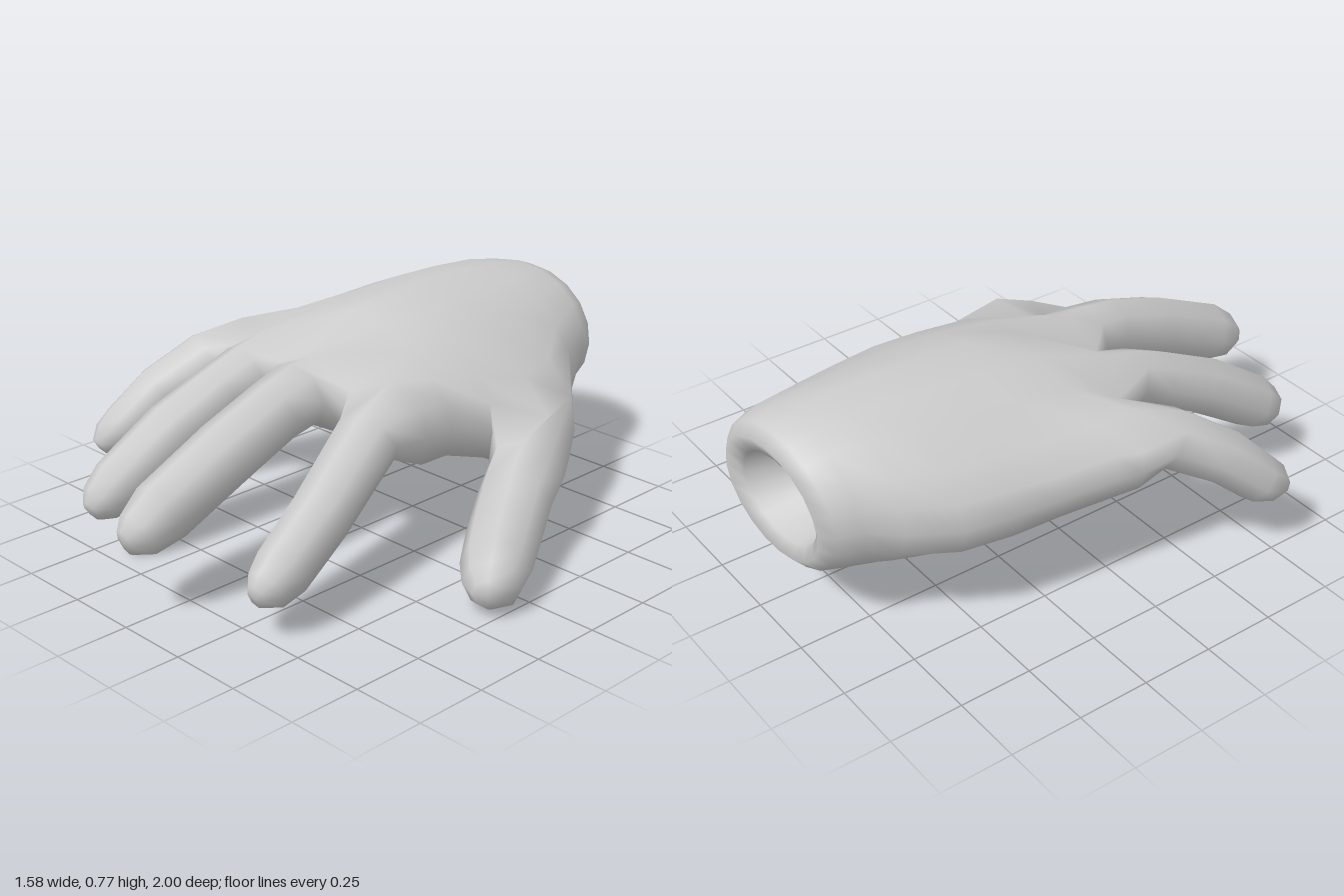
import * as THREE from 'three';

const material = new THREE.MeshStandardMaterial({ color: 0xcccccc });

export function createModel() {
  const group = new THREE.Group();
  group.name = 'hand';
  const points = [];   // vertices shared by all parts, so the skin shades without seams
  const parts = {};    // part name -> triangle indices

  const add = (x, y, z) => points.push(x, y, z) / 3 - 1;

  // Join two loops of vertex numbers with quads; loops run clockwise seen from ahead
  function bridge(part, a, b, skip = []) {
    const index = (parts[part] ??= []);
    a.forEach((a0, i) => {
      if (skip.includes(i)) return;
      const j = (i + 1) % a.length;
      for (const tri of [[a0, b[i], a[j]], [a[j], b[i], b[j]]]) {
        if (new Set(tri).size === 3) index.push(...tri);
      }
    });
  }

  // Wrist loop: 20-point ellipse, slightly tilted
  function wristLoop(a, b, y, z) {
    return Array.from({ length: 20 }, (_, i) => {
      const t = (162 - 18 * i) * Math.PI / 180;
      const dx = a * Math.cos(t), dy = b * Math.sin(t);
      return add(-0.1 + dx, y + dy, z - 0.08 * dx - 0.06 * dy);
    });
  }

  // Nine values through five control values
  const spread = (v) => new THREE.SplineCurve(v.map((y, i) => new THREE.Vector2(i, y)))
    .getPoints(8).map((p) => p.y);

  // Palm loop: nine columns above, nine below, one point at each side
  function palmLoop(xs, zs, tops, bottoms, knuckle = 0) {
    const [x, z, top, bot] = [xs, zs, tops, bottoms].map(spread);
    const upper = x.map((v, i) => add(v, top[i] + (i % 2) * knuckle, z[i]));
    const lower = x.map((v, i) => add(v, bot[i] - (i % 2) * knuckle * 0.3, z[i]));
    const mid = (i, out) => add(x[i] + out, (top[i] + bot[i]) / 2, z[i]);
    const right = mid(8, 0.02), left = mid(0, -0.02);
    const loop = [...upper, right, ...[...lower].reverse(), left];
    return { loop, upper, lower, right, left, mid };
  }

  // Finger: eight-sided rings along a path of [x, y, z, radius], closed by a tip point
  function finger(name, base, path) {
    const centres = path.map((p) => new THREE.Vector3(p[0], p[1], p[2]));
    const last = centres.length - 1;
    let previous = base;
    path.forEach((p, k) => {
      const ahead = centres[Math.min(k + 1, last)], behind = centres[Math.max(k - 1, 0)];
      const dir = ahead.clone().sub(behind).normalize();
      const side = new THREE.Vector3(0, 1, 0).cross(dir).normalize();
      const up = dir.clone().cross(side);
      const ring = base.map((_, i) => {
        const t = (135 - 45 * i) * Math.PI / 180;
        const v = centres[k].clone()
          .addScaledVector(side, p[3] * Math.cos(t))
          .addScaledVector(up, p[3] * Math.sin(t));
        return add(v.x, v.y, v.z);
      });
      bridge(name, previous, ring);
      previous = ring;
    });
    const end = centres[last].clone().lerp(centres[last - 1], -0.15);
    bridge(name, previous, Array(8).fill(add(end.x, end.y, end.z)));
  }

  // Hollow wrist: recess floor, recess wall and rounded rim
  const floor = Array(20).fill(add(-0.1, 0.465, -0.68));
  const wrist = [
    wristLoop(0.14, 0.11, 0.465, -0.73), wristLoop(0.185, 0.15, 0.465, -0.95),
    wristLoop(0.235, 0.2, 0.475, -0.98), wristLoop(0.28, 0.24, 0.475, -0.945),
    wristLoop(0.305, 0.262, 0.48, -0.875),
  ];
  [floor, ...wrist].forEach((loop, i, all) => i && bridge('wrist', all[i - 1], loop));

  // Palm, from the wrist to the webs between the fingers
  const flat = (z) => Array(5).fill(z);
  const palm = [
    palmLoop([-0.455, -0.32, -0.09, 0.12, 0.26], flat(-0.75),
      [0.55, 0.71, 0.765, 0.68, 0.53], [0.38, 0.27, 0.22, 0.21, 0.3]),
    palmLoop([-0.535, -0.36, -0.1, 0.17, 0.41], flat(-0.59),
      [0.54, 0.70, 0.775, 0.66, 0.44], [0.37, 0.28, 0.235, 0.185, 0.2]),
    palmLoop([-0.565, -0.37, -0.11, 0.19, 0.455], flat(-0.42),
      [0.54, 0.70, 0.775, 0.66, 0.425], [0.37, 0.32, 0.31, 0.24, 0.16]),
    palmLoop([-0.595, -0.38, -0.11, 0.18, 0.335], flat(-0.26),
      [0.54, 0.69, 0.765, 0.66, 0.485], [0.39, 0.37, 0.39, 0.34, 0.29]),
    palmLoop([-0.625, -0.40, -0.12, 0.15, 0.31], flat(-0.08),
      [0.55, 0.68, 0.74, 0.66, 0.53], [0.40, 0.43, 0.47, 0.43, 0.345]),
    palmLoop([-0.645, -0.43, -0.19, 0.12, 0.315], [0, 0.09, 0.19, 0.17, 0.04],
      [0.54, 0.59, 0.605, 0.585, 0.54], [0.41, 0.42, 0.46, 0.43, 0.35], 0.07),
  ];
  bridge('palm', wrist[4], palm[0].loop);
  for (let i = 1; i < palm.length; i++) {
    // the side faces of two rows stay open for the thumb
    bridge('palm', palm[i - 1].loop, palm[i].loop, i === 2 || i === 3 ? [8, 9] : []);
  }

  // Four fingers growing out of the last palm loop, sharing the web points
  const web = palm[5];
  const sides = [web.left, web.mid(2, 0), web.mid(4, 0), web.mid(6, 0), web.right];
  const fingers = {
    littleFinger: [[-0.595, 0.505, 0.16, 0.102], [-0.665, 0.41, 0.32, 0.095],
      [-0.715, 0.3, 0.44, 0.085], [-0.73, 0.265, 0.5, 0.065], [-0.735, 0.24, 0.535, 0.035]],
    ringFinger: [[-0.312, 0.55, 0.23, 0.1], [-0.32, 0.51, 0.34, 0.096], [-0.34, 0.42, 0.53, 0.1],
      [-0.36, 0.285, 0.74, 0.095], [-0.365, 0.24, 0.81, 0.072], [-0.365, 0.22, 0.845, 0.038]],
    middleFinger: [[-0.03, 0.555, 0.26, 0.112], [-0.012, 0.535, 0.38, 0.106],
      [0, 0.465, 0.58, 0.108], [0.005, 0.345, 0.85, 0.104], [0.005, 0.3, 0.94, 0.08],
      [0, 0.285, 0.985, 0.044]],
    indexFinger: [[0.24, 0.465, 0.21, 0.108], [0.31, 0.31, 0.48, 0.1],
      [0.345, 0.205, 0.67, 0.093], [0.352, 0.17, 0.74, 0.073], [0.355, 0.16, 0.78, 0.038]],
  };
  Object.entries(fingers).forEach(([name, path], k) => {
    const c = 2 * k, { upper, lower } = web;
    finger(name, [upper[c], upper[c + 1], upper[c + 2], sides[k + 1],
      lower[c + 2], lower[c + 1], lower[c], sides[k]], path);
  });

  // Thumb growing out of the open side of the palm
  const [back, centre, front] = palm.slice(1, 4);
  finger('thumb', [front.upper[8], centre.upper[8], back.upper[8], back.right,
    back.lower[8], centre.lower[8], front.lower[8], front.right],
  [[0.455, 0.265, -0.315, 0.13], [0.505, 0.215, -0.2, 0.125], [0.585, 0.16, -0.06, 0.122],
    [0.66, 0.12, 0.06, 0.115], [0.71, 0.098, 0.135, 0.094], [0.735, 0.09, 0.18, 0.052]]);

  // Smooth normals over the whole skin, then one mesh per part
  const skin = new THREE.BufferGeometry();
  skin.setAttribute('position', new THREE.Float32BufferAttribute(points, 3));
  skin.setIndex(Object.values(parts).flat());
  skin.computeVertexNormals();
  for (const [name, index] of Object.entries(parts)) {
    skin.setIndex(index);
    const mesh = new THREE.Mesh(skin.toNonIndexed(), material);
    mesh.name = name;
    group.add(mesh);
  }
  return group;
}
